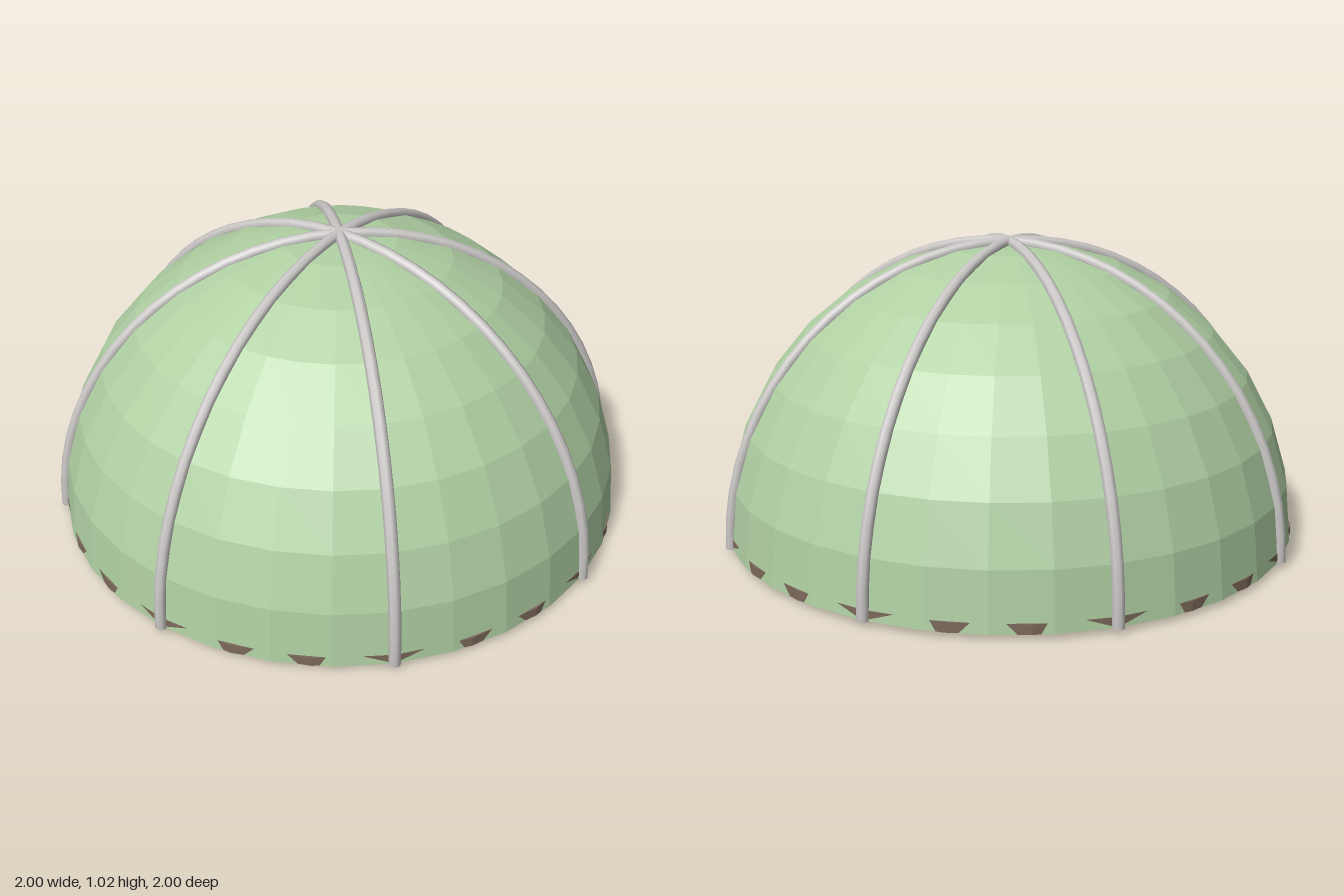
import * as THREE from 'three';

const R = 0.98;      // dome radius
const BASE = 0.018;  // height of the dome rim

function material(name, color, extra = {}) {
  const m = new THREE.MeshStandardMaterial({ color, ...extra });
  m.name = name;
  return m;
}

export function createModel() {
  const model = new THREE.Group();
  model.name = 'gardenDome';

  const glass = material('pale green panel', 0xb0d0a3, { flatShading: true, side: THREE.DoubleSide });
  const metal = material('light grey metal', 0xcac7c6);
  const soil = material('brown soil', 0x7d6a5c, { flatShading: true });
  const leaf = material('leaf green', 0x7fae7c);

  const add = (name, geometry, mat, x, y, z, parent = model) => {
    const mesh = new THREE.Mesh(geometry, mat);
    mesh.name = name;
    mesh.position.set(x, y, z);
    parent.add(mesh);
    return mesh;
  };

  // Faceted half-sphere shell
  add('domeShell', new THREE.SphereGeometry(R, 32, 8, 0, Math.PI * 2, 0, Math.PI / 2), glass, 0, BASE, 0);

  // Soil bed, its corners showing through the rim of the shell
  const bedHeight = 0.033;
  add('soilBed', new THREE.CylinderGeometry(R, R, bedHeight, 24), soil, 0, BASE + bedHeight / 2, 0);

  // Four half-hoop ribs crossing at the crown
  const ribs = new THREE.Group();
  ribs.name = 'ribs';
  model.add(ribs);
  const hoop = new THREE.TorusGeometry(R, 0.02, 8, 32, Math.PI);
  const foot = new THREE.CircleGeometry(0.02, 8).rotateX(Math.PI / 2);
  for (let i = 0; i < 4; i++) {
    const rib = new THREE.Group();
    rib.name = 'rib';
    rib.position.y = BASE;
    rib.rotation.y = i * Math.PI / 4;
    ribs.add(rib);
    add('ribHoop', hoop, metal, 0, 0, 0, rib);
    for (const side of [-1, 1]) add('ribFoot', foot, metal, side * R, 0, 0, rib);
  }

  // Round plants set in the bed, just reaching below it
  const plants = new THREE.Group();
  plants.name = 'plants';
  model.add(plants);
  const size = 0.058;
  const plantShape = new THREE.SphereGeometry(size, 16, 12);
  const spots = [
    [0.65, -0.39], [0.2, -0.48], [0.52, 0.05], [-0.18, -0.75], [0.58, 0.51],
    [-0.41, -0.34], [0.12, 0.52], [-0.46, 0.28], [-0.31, 0.72], [-0.78, -0.06],
  ];
  for (const [x, z] of spots) add('plant', plantShape, leaf, x, size, z, plants);

  return model;
}
